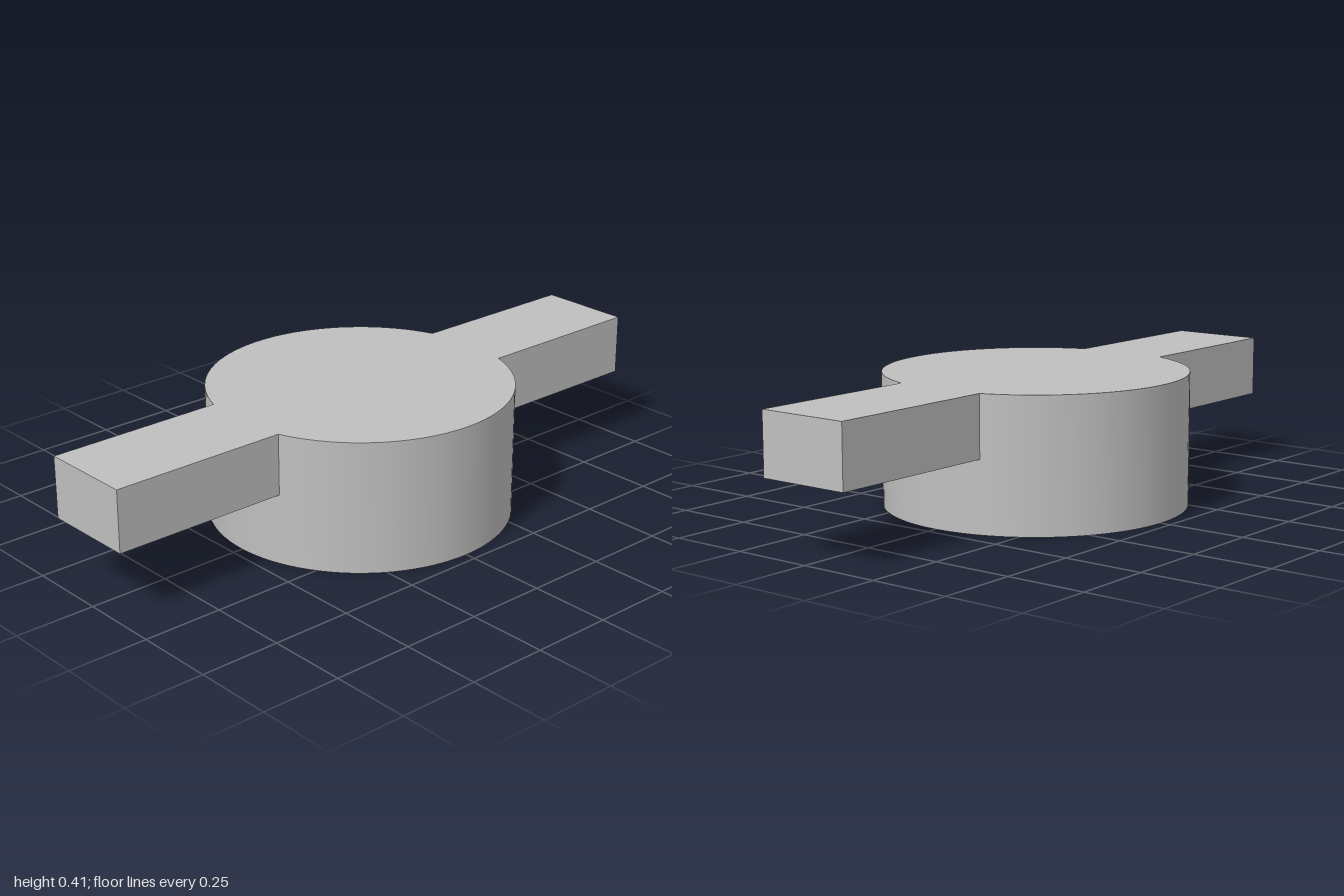
import * as THREE from 'three';
import { toCreasedNormals } from 'three/addons/utils/BufferGeometryUtils.js';

const RADIUS = 0.467, BORE = 0.387, HEIGHT = 0.41, CEILING = 0.357;
const WING_HALF_WIDTH = 0.148, WING_BOTTOM = 0.22;

export function createModel() {
  const model = new THREE.Group();
  model.name = 'wingCap';
  const grey = new THREE.MeshStandardMaterial({ color: 0xbfbfbf });
  grey.name = 'plain grey';

  // Round cap, hollow from below
  const profile = [
    [0, CEILING], [BORE, CEILING], [BORE, 0],
    [RADIUS, 0], [RADIUS, HEIGHT], [0, HEIGHT],
  ].map(([r, y]) => new THREE.Vector2(r, y));
  const cap = new THREE.Mesh(toCreasedNormals(new THREE.LatheGeometry(profile, 96), 0.5), grey);
  cap.name = 'cap';
  model.add(cap);

  // Flat grip wing whose inner end follows the cap's wall
  const seat = RADIUS - 0.002;
  const angle = Math.asin(WING_HALF_WIDTH / seat);
  const outline = new THREE.Shape();
  outline.moveTo(1, -WING_HALF_WIDTH);
  outline.lineTo(1, WING_HALF_WIDTH);
  outline.absarc(0, 0, seat, angle, -angle, true);
  outline.closePath();
  const wingGeometry = new THREE.ExtrudeGeometry(outline, {
    depth: HEIGHT - WING_BOTTOM, bevelEnabled: false, curveSegments: 16,
  });
  wingGeometry.rotateX(-Math.PI / 2).translate(0, WING_BOTTOM, 0);

  // One wing on each side
  for (const [name, turn] of [['leftWing', 0], ['rightWing', Math.PI]]) {
    const wing = new THREE.Mesh(wingGeometry, grey);
    wing.name = name;
    wing.rotation.y = turn;
    model.add(wing);
  }
  return model;
}
